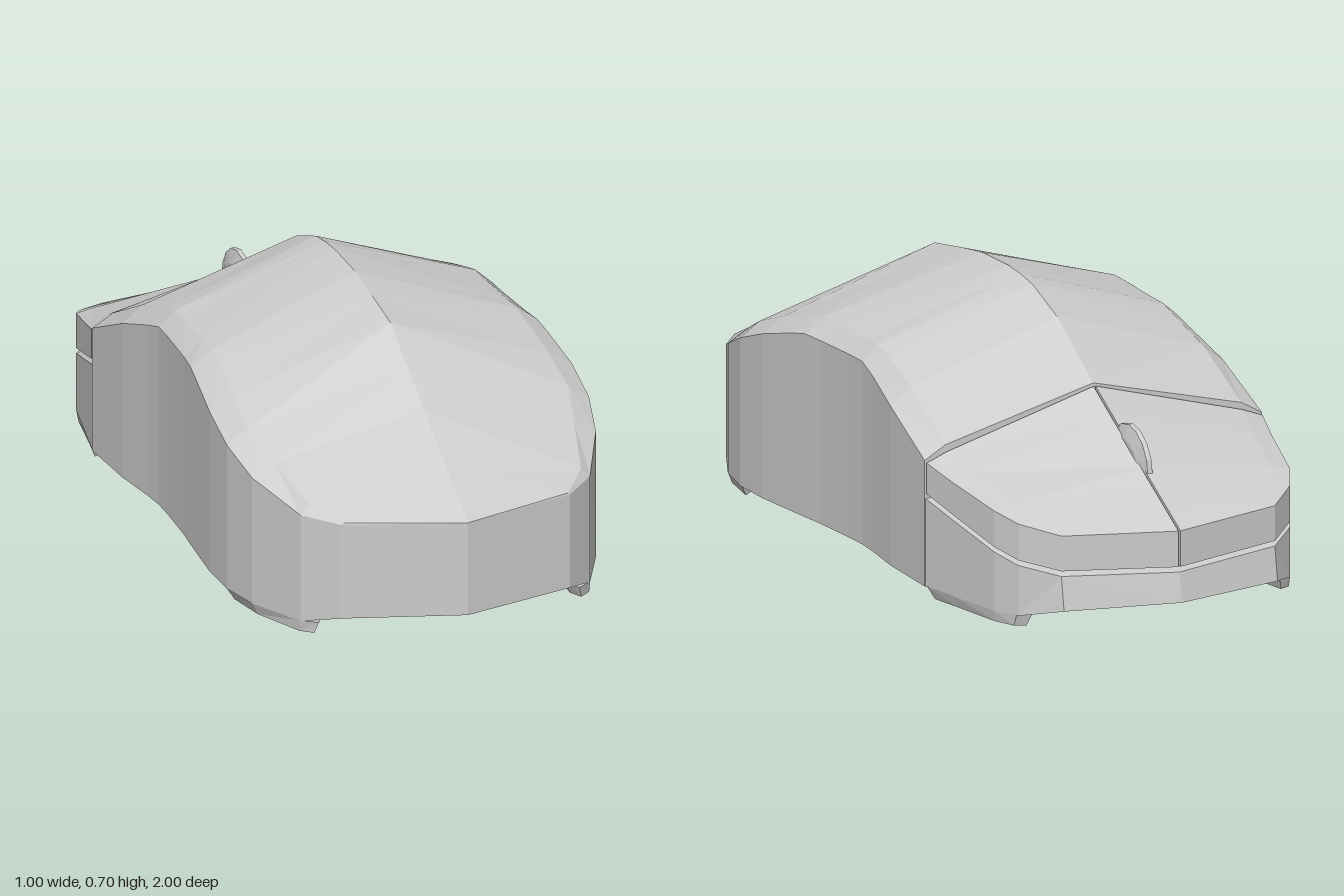
import * as THREE from 'three';

const material = new THREE.MeshStandardMaterial({ color: 0xcccccc, flatShading: true });

// Skin a list of closed rings, each counter-clockwise seen from +z, ordered by rising z.
function loft(rings) {
  const pos = [], n = rings[0].length;
  const tri = (a, b, c) => pos.push(...a, ...b, ...c);
  for (let i = 0; i < rings.length - 1; i++) {
    const a = rings[i], b = rings[i + 1];
    for (let j = 0; j < n; j++) {
      const k = (j + 1) % n;
      if (a[j][0] + a[k][0] > 0) {
        tri(a[j], a[k], b[j]);
        tri(a[k], b[k], b[j]);
      } else {
        tri(a[j], a[k], b[k]);
        tri(a[j], b[k], b[j]);
      }
    }
  }
  const first = rings[0], last = rings[rings.length - 1];
  for (let j = 1; j < n - 1; j++) {
    tri(first[0], first[j + 1], first[j]);
    tri(last[0], last[j], last[j + 1]);
  }
  const geometry = new THREE.BufferGeometry();
  geometry.setAttribute('position', new THREE.Float32BufferAttribute(pos, 3));
  geometry.computeVertexNormals();
  return geometry;
}

// Mirror rings across x = 0, keeping their winding.
const mirrorRings = rings => rings.map(r => r.map(([x, y, z]) => [-x, y, z]).reverse());

// Complete a half ring (bottom to ridge) with its mirror image.
const fullRing = half => [...half, ...half.slice(0, -1).reverse().map(([x, y, z]) => [-x, y, z])];

function part(group, name, geometry) {
  const mesh = new THREE.Mesh(geometry, material);
  mesh.name = name;
  group.add(mesh);
  return mesh;
}

// Main shell: z, ridge y, shoulder x, y, rim x, y, base y
const shellStations = [
  [-0.49, 0.515, 0.43, 0.405, 0.49, 0.37, 0.03],
  [-0.28, 0.64, 0.425, 0.505, 0.482, 0.46, 0.03],
  [-0.14, 0.69, 0.415, 0.548, 0.465, 0.505, 0.03],
  [-0.07, 0.7, 0.415, 0.565, 0.46, 0.525, 0.03],
  [0, 0.705, 0.415, 0.565, 0.462, 0.525, 0.03],
  [0.15, 0.7, 0.42, 0.565, 0.472, 0.525, 0.03],
  [0.22, 0.69, 0.42, 0.565, 0.48, 0.525, 0.03],
  [0.28, 0.68, 0.425, 0.552, 0.486, 0.512, 0.03],
  [0.42, 0.655, 0.435, 0.515, 0.5, 0.475, 0.03],
  [0.55, 0.577, 0.443, 0.468, 0.5, 0.43, 0.03],
  [0.67, 0.505, 0.415, 0.415, 0.475, 0.38, 0.03],
  [0.83, 0.41, 0.375, 0.35, 0.4, 0.325, 0.03],
  [0.91, 0.365, 0.31, 0.32, 0.315, 0.315, 0.055],
  [1, 0.312, 0, 0.312, 0, 0.312, 0.055],
];

// Button end: z, half width, ridge y, rim y, seam y
const noseStations = [
  [-0.985, 0, 0.245, 0.245, 0.148],
  [-0.92, 0.31, 0.28, 0.255, 0.16],
  [-0.84, 0.395, 0.322, 0.278, 0.18],
  [-0.77, 0.43, 0.36, 0.3, 0.203],
  [-0.6, 0.465, 0.452, 0.337, 0.25],
  [-0.497, 0.488, 0.508, 0.365, 0.282],
];

export function createModel() {
  const group = new THREE.Group();
  group.name = 'computerMouse';

  part(group, 'shell', loft(shellStations.map(([z, ridge, sx, sy, rx, ry, by]) =>
    fullRing([[rx, by, z], [rx, ry, z], [sx, sy, z], [0, ridge, z]]))));

  // Two click buttons divided by a narrow slit
  const slit = 0.003;
  const button = noseStations.map(([z, w, ridge, rim, seam]) => {
    const x = Math.max(w, slit);
    return [[slit, seam, z], [x, seam, z], [x, rim, z],
      [Math.max(w * 0.88, slit), rim + (ridge - rim) * 0.16, z], [slit, ridge, z]];
  });
  part(group, 'leftButton', loft(button));
  part(group, 'rightButton', loft(mirrorRings(button)));

  // Lower nose under the seam, with its lip reaching slightly forward at the bottom
  part(group, 'lowerNose', loft(noseStations.map(([z, w, , , seam], i) => {
    const by = i < 2 ? 0.055 : 0.03;
    const zb = i < 2 ? z - 0.015 : z;
    const zt = i === 5 ? -0.489 : z;
    return fullRing([[w, by, i === 5 ? zt : zb], [w, seam - 0.014, zt], [0, seam - 0.014, zt]]);
  })));

  // Recessed core closing the seam
  part(group, 'seamCore', loft(noseStations.map(([z, w, , , seam]) => {
    const zc = z * 0.97, wc = Math.max(w - 0.02, 0);
    return fullRing([[wc, seam - 0.03, zc], [wc, seam + 0.02, zc], [0, seam + 0.02, zc]]);
  })));

  // Scroll wheel with a tapered rim
  const wheelProfile = [[0, -0.02], [0.075, -0.02], [0.112, -0.007], [0.112, 0.007], [0.075, 0.02], [0, 0.02]]
    .map(([r, h]) => new THREE.Vector2(r, h));
  const wheel = part(group, 'scrollWheel', new THREE.LatheGeometry(wheelProfile, 16));
  wheel.rotation.z = Math.PI / 2;
  wheel.position.set(-0.013, 0.34, -0.68);

  // Corner feet: outer edge follows the body, inner edge is rounded; x, z outlines
  const feet = {
    palmFoot: [[0.5, 0.54], [0.475, 0.67], [0.4, 0.83], [0.36, 0.86], [0.338, 0.82], [0.345, 0.74], [0.4, 0.62]],
    noseFoot: [[0.488, -0.5], [0.42, -0.55], [0.365, -0.65], [0.34, -0.76], [0.36, -0.85], [0.397, -0.835], [0.43, -0.77], [0.465, -0.6]],
  };
  for (const [name, outline] of Object.entries(feet)) {
    const cx = outline.reduce((s, p) => s + p[0], 0) / outline.length;
    const cz = outline.reduce((s, p) => s + p[1], 0) / outline.length;
    for (const side of [1, -1]) {
      const pos = [];
      const tri = (...pts) => (side > 0 ? pts : pts.reverse()).forEach(([x, y, z]) => pos.push(side * x, y, z));
      outline.forEach(([x, z], i) => {
        const [x2, z2] = outline[(i + 1) % outline.length];
        const low = (px, pz) => [cx + (px - cx) * 0.8, 0, cz + (pz - cz) * 0.92];
        const a = [x, 0.032, z], b = [x2, 0.032, z2], c = low(x, z), d = low(x2, z2);
        tri(a, c, b);
        tri(b, c, d);
        tri(c, [cx, 0, cz], d);
      });
      const geometry = new THREE.BufferGeometry();
      geometry.setAttribute('position', new THREE.Float32BufferAttribute(pos, 3));
      geometry.computeVertexNormals();
      const foot = part(group, (side > 0 ? 'left' : 'right') + name[0].toUpperCase() + name.slice(1), geometry);
      foot.material = material.clone();
      foot.material.side = THREE.DoubleSide;
    }
  }
  return group;
}
